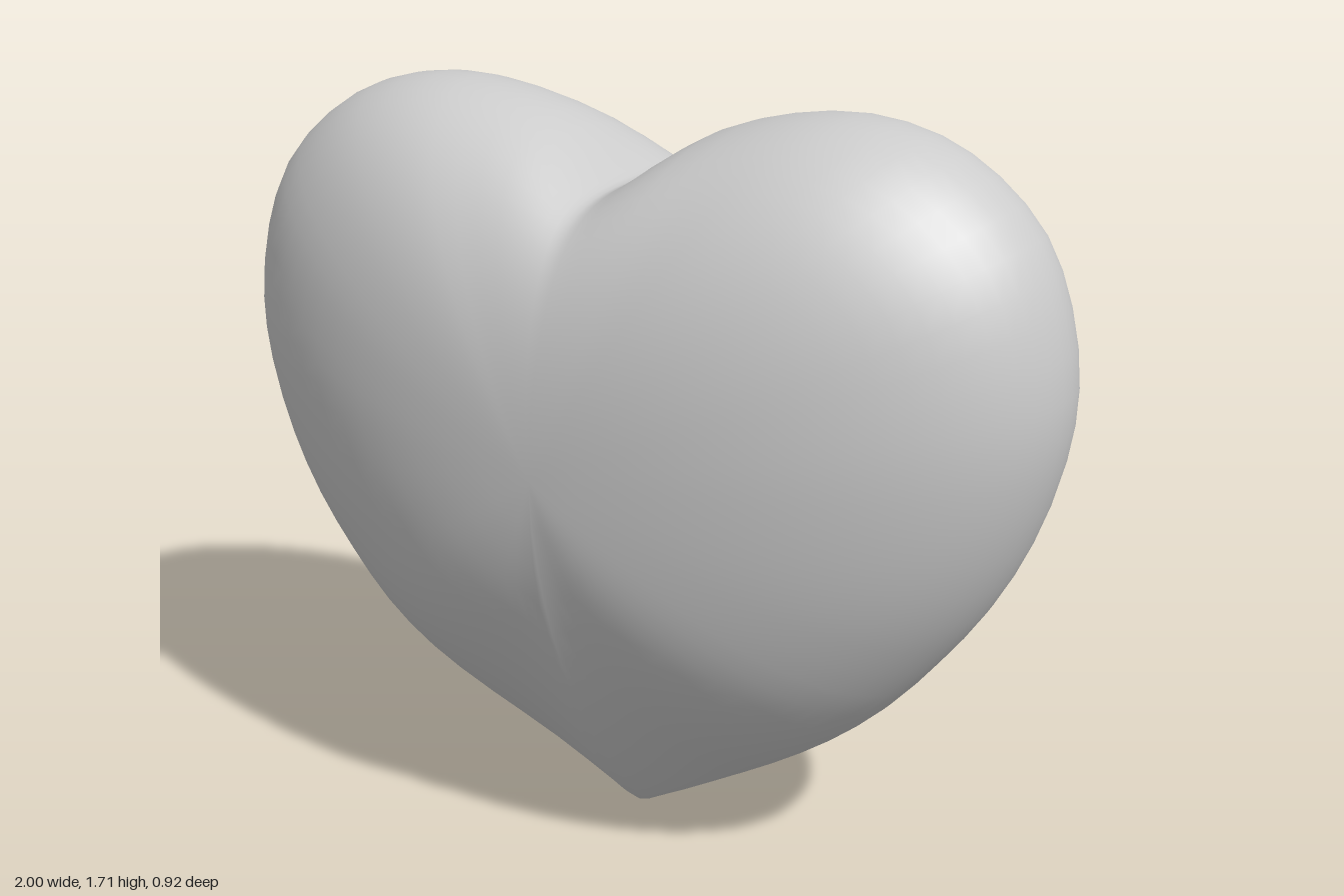
import * as THREE from 'three';

const CENTRE_Y = 0.97, HALF_DEPTH = 0.46, RINGS = 36, SEGMENTS = 80;

// Right half of the heart outline, from the bottom tip to the notch
const HALF = [
  [0, 0], [0.05, 0.022], [0.2, 0.105], [0.36, 0.2], [0.51, 0.305], [0.64, 0.42], [0.75, 0.55],
  [0.85, 0.69], [0.93, 0.85], [0.985, 1.03], [1, 1.19], [0.972, 1.36], [0.91, 1.5],
  [0.8, 1.61], [0.67, 1.68], [0.51, 1.71], [0.35, 1.695], [0.2, 1.65], [0.1, 1.59],
  [0.03, 1.537], [0, 1.525],
];

function heartOutline() {
  const left = HALF.slice(1, -1).reverse().map(([x, y]) => [-x, y]);
  const points = [...HALF, ...left].map(([x, y]) => new THREE.Vector3(x, y - CENTRE_Y, 0));
  return new THREE.CatmullRomCurve3(points, true, 'centripetal').getPoints(SEGMENTS).slice(0, SEGMENTS);
}

// Nested outlines swell from the rim to a front and a back pole
function heartGeometry() {
  const outline = heartOutline();
  const positions = [0, CENTRE_Y, HALF_DEPTH];
  const index = [];

  for (let i = 1; i < RINGS; i++) {
    const phi = (i / RINGS) * Math.PI;
    const t = i * 2 === RINGS ? 1 : Math.pow(Math.sin(phi), 2 / 2.3);
    const side = i * 2 === RINGS ? 0 : Math.sign(Math.cos(phi));
    for (const p of outline) {
      // the notch fades out towards the middle of each face
      const gap = p.y > 0.3 && Math.abs(p.x) < 0.5 ? Math.max(0, 0.72 - p.y) : 0;
      const y = p.y + gap * (1 - t ** 3);
      // round section around the lobes, nearly conical at the tip
      const angle = Math.atan2(p.x, -p.y);
      const tip = Math.exp(-((angle / 0.5) ** 2));
      const power = THREE.MathUtils.lerp(2.3, 1.9, tip);
      const curve = THREE.MathUtils.lerp(0.5, 0.88, tip);
      const z = side * HALF_DEPTH * Math.pow(Math.max(0, 1 - t ** power), curve);
      positions.push(p.x * t, CENTRE_Y + y * t, z);
    }
  }
  positions.push(0, CENTRE_Y, -HALF_DEPTH);

  const last = positions.length / 3 - 1;
  const at = (i, j) => 1 + (i - 1) * SEGMENTS + (j % SEGMENTS);
  for (let j = 0; j < SEGMENTS; j++) {
    index.push(0, at(1, j), at(1, j + 1));
    for (let i = 1; i < RINGS - 1; i++) {
      index.push(at(i, j), at(i + 1, j), at(i + 1, j + 1));
      index.push(at(i, j), at(i + 1, j + 1), at(i, j + 1));
    }
    index.push(at(RINGS - 1, j), last, at(RINGS - 1, j + 1));
  }

  const geometry = new THREE.BufferGeometry();
  geometry.setAttribute('position', new THREE.Float32BufferAttribute(positions, 3));
  geometry.setIndex(index);
  geometry.computeVertexNormals();
  return geometry;
}

export function createModel() {
  const model = new THREE.Group();
  model.name = 'heart';
  const body = new THREE.Mesh(heartGeometry(), new THREE.MeshStandardMaterial({ color: 0xcccccc }));
  body.name = 'heartBody';
  model.add(body);
  return model;
}
